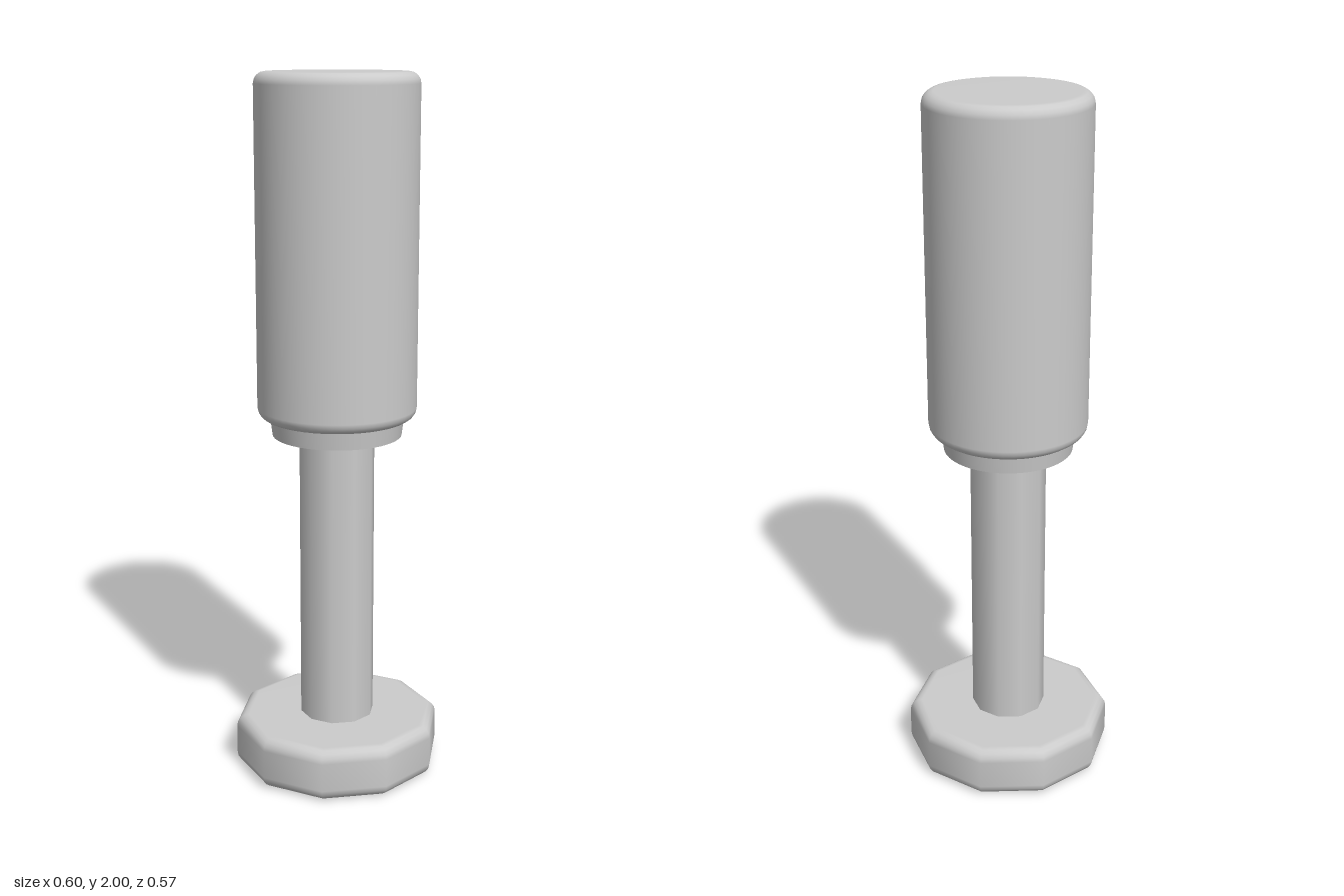
import * as THREE from 'three';

const material = new THREE.MeshStandardMaterial({ color: 0xcccccc });

// Turned solid; the first corner of the outline lies on +x
function turned(name, profile, sides) {
  const points = profile.map(([r, y]) => new THREE.Vector2(r, y));
  const mesh = new THREE.Mesh(new THREE.LatheGeometry(points, sides, Math.PI / 2), material);
  mesh.name = name;
  return mesh;
}

// Profile of a disc or cylinder with rounded rims
function roundedProfile(radius, y0, y1, bevel, steps = 4) {
  const profile = [[0, y0]];
  for (const [cy, start] of [[y0 + bevel, -Math.PI / 2], [y1 - bevel, 0]]) {
    for (let i = 0; i <= steps; i++) {
      const a = start + (i / steps) * Math.PI / 2;
      profile.push([radius - bevel + bevel * Math.cos(a), cy + bevel * Math.sin(a)]);
    }
  }
  profile.push([0, y1]);
  return profile;
}

export function createModel() {
  const model = new THREE.Group();
  model.name = 'handStamp';

  // Ten-sided foot and shaft
  model.add(turned('foot', roundedProfile(0.3, 0, 0.153, 0.035), 10));
  model.add(turned('shaft', [[0.108, 0.14], [0.108, 1.01]], 10));

  // Tapered collar under the grip; repeated points keep its rim sharp
  model.add(turned('collar', [[0, 1], [0.183, 1], [0.183, 1], [0.192, 1.07]], 48));

  // Round grip
  model.add(turned('grip', roundedProfile(0.225, 1.05, 2, 0.032), 48));

  return model;
}
